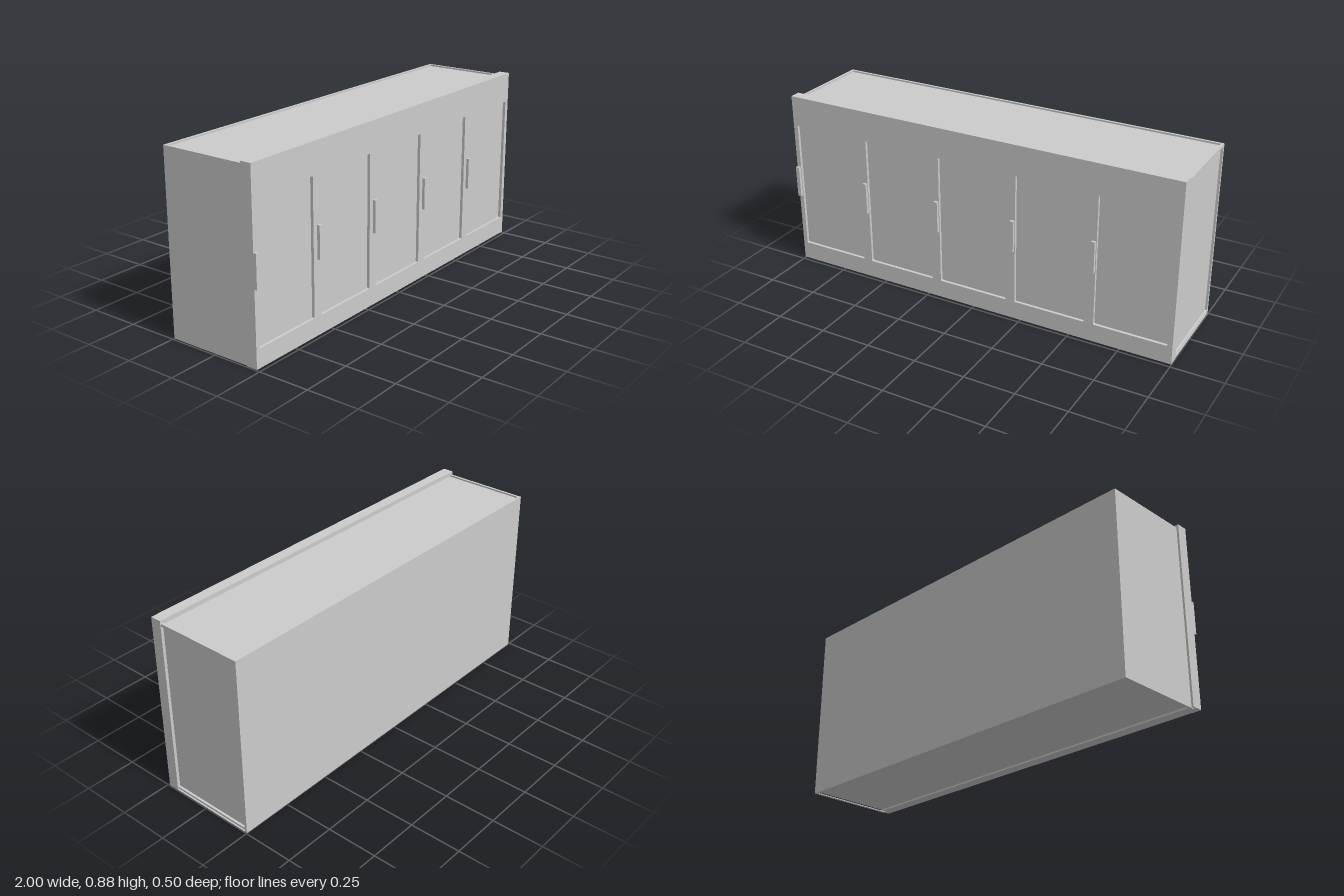
import * as THREE from 'three';

const material = new THREE.MeshStandardMaterial({ color: 0xcccccc });

// Box given by its min and max corners
function box(name, [x0, y0, z0], [x1, y1, z1]) {
  const mesh = new THREE.Mesh(new THREE.BoxGeometry(x1 - x0, y1 - y0, z1 - z0), material);
  mesh.name = name;
  mesh.position.set((x0 + x1) / 2, (y0 + y1) / 2, (z0 + z1) / 2);
  return mesh;
}

// Rectangle with slightly rounded corners, traced onto a Shape or Path
function roundedRect(path, x0, y0, x1, y1, r) {
  path.moveTo(x0 + r, y0);
  path.lineTo(x1 - r, y0);
  path.quadraticCurveTo(x1, y0, x1, y0 + r);
  path.lineTo(x1, y1 - r);
  path.quadraticCurveTo(x1, y1, x1 - r, y1);
  path.lineTo(x0 + r, y1);
  path.quadraticCurveTo(x0, y1, x0, y1 - r);
  path.lineTo(x0, y0 + r);
  path.quadraticCurveTo(x0, y0, x0 + r, y0);
  return path;
}

export function createModel() {
  const group = new THREE.Group();
  group.name = 'cabinet';

  // Carcass: core with raised rims around the recessed top, right side and underside
  const carcass = new THREE.Group();
  carcass.name = 'carcass';
  carcass.add(
    box('core', [-0.98, 0.013, -0.24], [0.986, 0.864, 0.2]),
    box('backPanel', [-0.99, 0, -0.25], [0.997, 0.872, -0.238]),
    box('leftPanel', [-0.99, 0, -0.25], [-0.978, 0.872, 0.2]),
    box('rightTopRail', [0.984, 0.858, -0.24], [0.997, 0.872, 0.2]),
    box('rightBottomRail', [0.984, 0.013, -0.24], [0.997, 0.023, 0.2]),
    box('rightBottomLip', [0.984, 0, -0.24], [0.997, 0.004, 0.2])
  );
  group.add(carcass);

  // Front frame with five door openings
  const zBack = 0.182, zFront = 0.236, zDoor = 0.222;
  const frameShape = new THREE.Shape();
  frameShape.moveTo(-1, 0.004);
  frameShape.lineTo(1, 0.004);
  frameShape.lineTo(1, 0.885);
  frameShape.lineTo(-1, 0.885);
  frameShape.closePath();

  for (let i = 0; i < 5; i++) {
    const x = -1 + i * 0.4;
    frameShape.holes.push(roundedRect(new THREE.Path(), x + 0.022, 0.093, x + 0.376, 0.737, 0.005));
    // Door panel set back in its opening, and the handle on its left stile
    group.add(box('door' + (i + 1), [x + 0.015, 0.086, zBack + 0.001], [x + 0.383, 0.744, zDoor]));
    group.add(box('handle' + (i + 1), [x, 0.36, zFront - 0.002], [x + 0.019, 0.516, 0.25]));
  }
  const frame = new THREE.Mesh(
    new THREE.ExtrudeGeometry(frameShape, { depth: zFront - zBack, bevelEnabled: false, curveSegments: 3 }),
    material
  );
  frame.name = 'frontFrame';
  frame.position.z = zBack;
  group.add(frame);

  return group;
}
